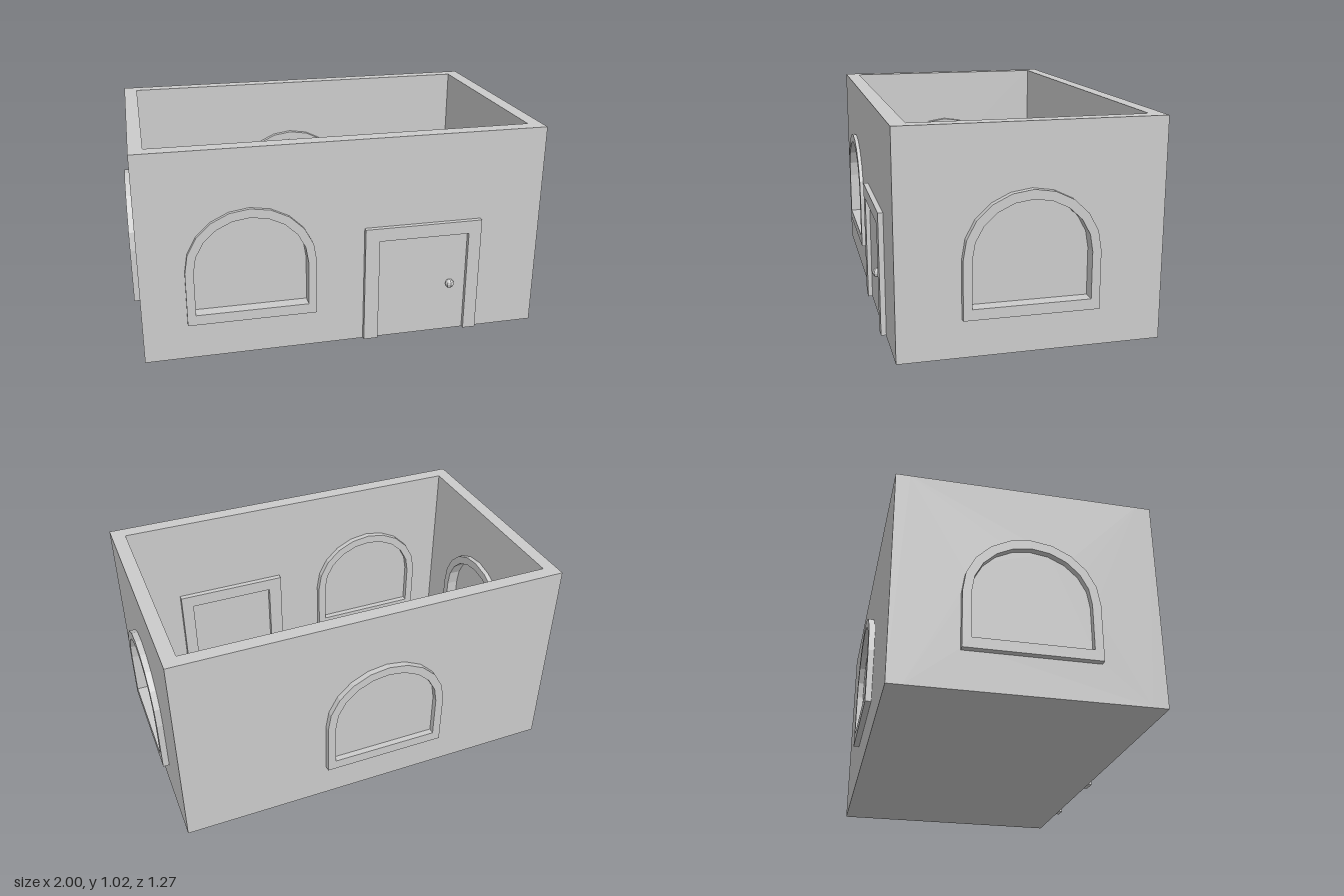
import * as THREE from 'three';

const HEIGHT = 1.025;
const material = new THREE.MeshStandardMaterial({ color: 0xcccccc, flatShading: true });

function addMesh(parent, name, geometry) {
  const mesh = new THREE.Mesh(geometry, material);
  mesh.name = name;
  parent.add(mesh);
  return mesh;
}

// Box given by its limits on each axis
function addBox(parent, name, x0, x1, y0, y1, z0, z1) {
  const mesh = addMesh(parent, name, new THREE.BoxGeometry(x1 - x0, y1 - y0, z1 - z0));
  mesh.position.set((x0 + x1) / 2, (y0 + y1) / 2, (z0 + z1) / 2);
}

function addExtrusion(parent, name, shape, z0, z1) {
  const geometry = new THREE.ExtrudeGeometry(shape, { depth: z1 - z0, bevelEnabled: false });
  geometry.translate(0, 0, z0);
  addMesh(parent, name, geometry);
}

// Arched outline: square bottom, ten-sided elliptical top
function archPoints(cx, halfWidth, bottom, top) {
  const spring = 0.448;
  const points = [
    new THREE.Vector2(cx - halfWidth, bottom),
    new THREE.Vector2(cx + halfWidth, bottom),
  ];
  for (let i = 0; i <= 10; i++) {
    const a = (i / 10) * Math.PI;
    points.push(new THREE.Vector2(cx + halfWidth * Math.cos(a), spring + (top - spring) * Math.sin(a)));
  }
  return points;
}
const outerArch = (cx) => archPoints(cx, 0.307, 0.18, 0.74);
const middleArch = (cx) => archPoints(cx, 0.287, 0.205, 0.718);
const innerArch = (cx) => archPoints(cx, 0.267, 0.23, 0.697);

// Wall facing local z, with an arched window frame and its pane set in
function windowWall(name, { x0, x1, z0, z1, windowX, frameZ }) {
  const group = new THREE.Group();
  group.name = name;

  const wall = new THREE.Shape([
    new THREE.Vector2(x0, 0), new THREE.Vector2(x1, 0),
    new THREE.Vector2(x1, HEIGHT), new THREE.Vector2(x0, HEIGHT),
  ]);
  wall.holes.push(new THREE.Path(middleArch(windowX)));
  addExtrusion(group, 'wall', wall, z0, z1);

  const frame = new THREE.Shape(outerArch(windowX));
  frame.holes.push(new THREE.Path(innerArch(windowX)));
  addExtrusion(group, 'windowFrame', frame, frameZ, frameZ + 0.12);

  addExtrusion(group, 'windowPane', new THREE.Shape(middleArch(windowX)), frameZ + 0.03, frameZ + 0.06);
  return group;
}

function createDoor() {
  const door = new THREE.Group();
  door.name = 'door';

  // Frame: two posts and a lintel in one outline
  const outline = [
    [0.085, 0.005], [0.155, 0.005], [0.155, 0.522], [0.6, 0.522],
    [0.6, 0.005], [0.663, 0.005], [0.663, 0.587], [0.085, 0.587],
  ].map(([x, y]) => new THREE.Vector2(x, y));
  addExtrusion(door, 'doorFrame', new THREE.Shape(outline), 0.497, 0.621);

  addBox(door, 'doorPanel', 0.15, 0.605, 0.003, 0.525, 0.522, 0.6);

  const knob = addMesh(door, 'doorKnob', new THREE.SphereGeometry(0.022, 8, 6));
  knob.position.set(0.518, 0.26, 0.614);
  return door;
}

export function createModel() {
  const model = new THREE.Group();
  model.name = 'roomShell';

  // Long walls
  model.add(windowWall('frontWall', { x0: -0.97, x1: 0.97, z0: 0.525, z1: 0.597, windowX: -0.455, frameZ: 0.495 }));
  model.add(windowWall('backWall', { x0: -0.97, x1: 0.97, z0: -0.606, z1: -0.54, windowX: -0.055, frameZ: -0.635 }));

  // Short walls, fitted between the long ones
  const side = { x0: -0.525, x1: 0.54, windowX: -0.003 };
  const leftWall = windowWall('leftWall', { ...side, z0: 0.902, z1: 0.97, frameZ: 0.88 });
  const rightWall = windowWall('rightWall', { ...side, z0: -0.97, z1: -0.905, frameZ: -1.0 });
  for (const wall of [leftWall, rightWall]) {
    wall.rotation.y = Math.PI / 2;
    model.add(wall);
  }

  addBox(model, 'floor', -0.905, 0.902, 0, 0.065, -0.54, 0.525);
  model.add(createDoor());
  return model;
}
